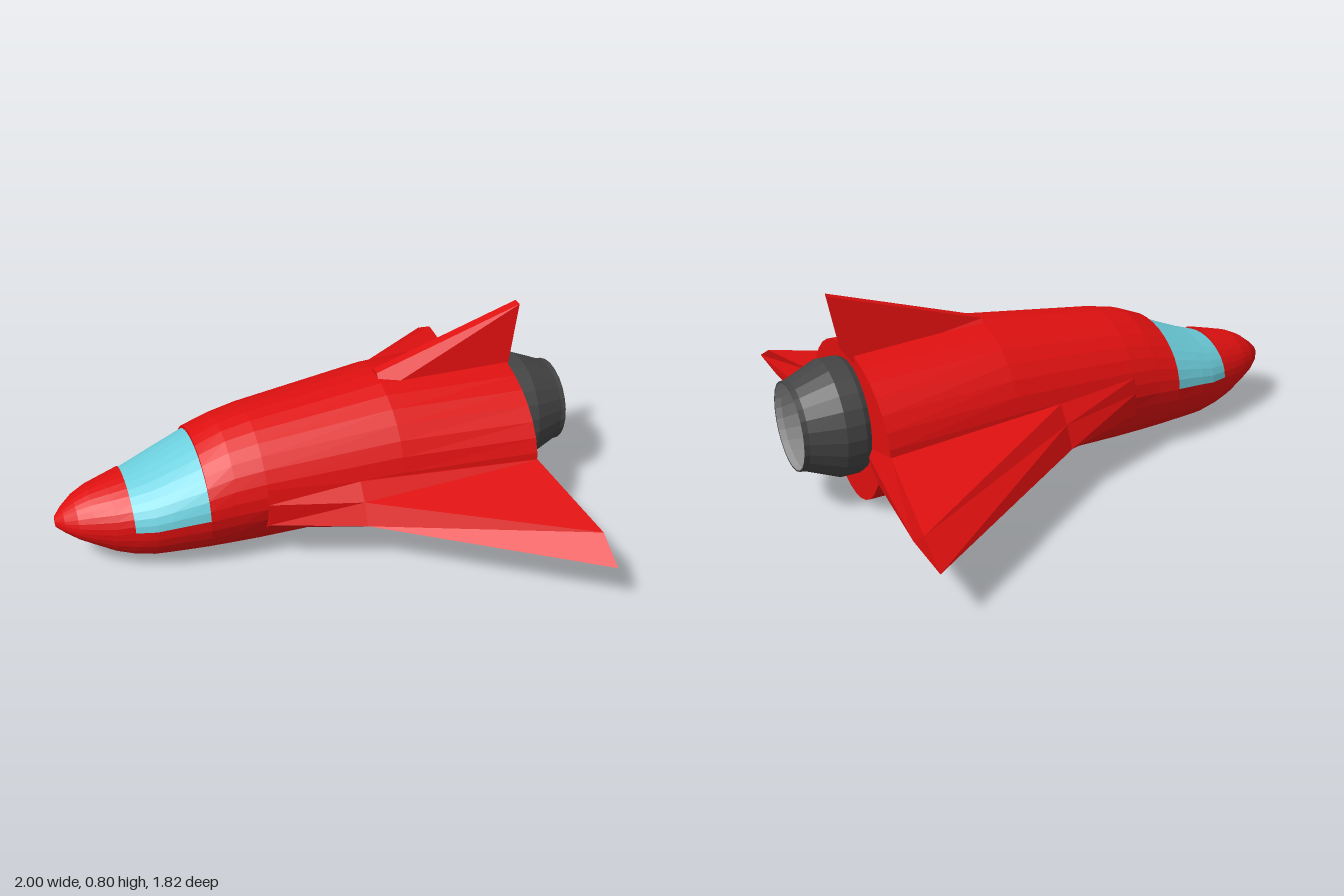
import * as THREE from 'three';

const red = new THREE.MeshStandardMaterial({ color: 0xe01010, flatShading: true, name: 'red paint' });
const cyan = new THREE.MeshStandardMaterial({ color: 0x6dd0de, flatShading: true, side: THREE.DoubleSide, name: 'cyan glass' });
const dark = new THREE.MeshStandardMaterial({ color: 0x444444, flatShading: true, side: THREE.DoubleSide, name: 'dark metal' });
const grey = new THREE.MeshStandardMaterial({ color: 0x999999, flatShading: true, side: THREE.DoubleSide, name: 'grey liner' });

// Skins a run of rings of [x, y, z] points that advance along +x; closed rings get end caps.
function loft(rings, closed = true) {
  const pos = [];
  const tri = (...pts) => pts.forEach((p) => pos.push(...p));
  const n = rings[0].length;
  for (let i = 0; i < rings.length - 1; i++) {
    const a = rings[i], b = rings[i + 1];
    for (let j = 0; j < (closed ? n : n - 1); j++) {
      const k = (j + 1) % n;
      tri(a[j], b[j], b[k]);
      tri(a[j], b[k], a[k]);
    }
  }
  if (closed) {
    const first = rings[0], last = rings[rings.length - 1];
    for (let j = 1; j < n - 1; j++) {
      tri(first[0], first[j], first[j + 1]);
      tri(last[0], last[j + 1], last[j]);
    }
  }
  const g = new THREE.BufferGeometry();
  g.setAttribute('position', new THREE.Float32BufferAttribute(pos, 3));
  g.computeVertexNormals();
  return g;
}

// Hull cross-section: a wide half ellipse above a narrower one.
// Station: x, top y, bottom y, waist y, upper half-width, lower half-width.
function ring([x, top, bottom, waist, upper, lower], from, to, steps) {
  const pts = [];
  for (let j = 0; j < steps; j++) {
    const t = from + (to - from) * (j / (to - from > 6 ? steps : steps - 1));
    const s = Math.sin(t);
    const w = s >= 0 ? upper : lower + (upper - lower) * Math.max(0, 1 + s / 0.45);
    pts.push([x, waist + s * (s >= 0 ? top - waist : waist - bottom), w * Math.cos(t)]);
  }
  return pts;
}
const fullRing = (st) => ring(st, 0, Math.PI * 2, 32);

const noseStations = [
  [-1.0, 0.22, 0.18, 0.2, 0.02, 0.02],
  [-0.97, 0.25, 0.16, 0.2, 0.06, 0.06],
  [-0.925, 0.285, 0.13, 0.2, 0.1, 0.1],
  [-0.87, 0.312, 0.098, 0.2, 0.13, 0.13],
  [-0.8, 0.33, 0.055, 0.2, 0.158, 0.16],
  [-0.735, 0.345, 0.03, 0.21, 0.18, 0.185],
];
const cockpitStations = [
  [-0.735, 0.335, 0.03, 0.21, 0.18, 0.185],
  [-0.66, 0.36, 0.015, 0.218, 0.21, 0.21],
  [-0.6, 0.385, 0.013, 0.23, 0.225, 0.225],
  [-0.47, 0.443, 0.01, 0.25, 0.252, 0.25],
];
const bodyStations = [
  [-0.47, 0.457, 0.01, 0.25, 0.255, 0.25],
  [-0.37, 0.5, 0.005, 0.26, 0.262, 0.255],
  [-0.26, 0.524, 0.002, 0.27, 0.275, 0.26],
  [0.25, 0.59, 0, 0.29, 0.327, 0.265],
  [0.765, 0.585, 0, 0.3, 0.38, 0.27],
];

// Wing sections, each running tip, ridge, hull top, buried root, hull underside, lower edge.
const wingSections = [
  [[-0.26, 0.2, 0.277], [-0.26, 0.29, 0.277], [-0.26, 0.35, 0.265],
    [-0.26, 0.25, 0.1], [-0.26, 0.16, 0.235], [-0.26, 0.17, 0.25]],
  [[0.08, 0.2, 0.4], [0.08, 0.28, 0.36], [0.08, 0.342, 0.312],
    [0.08, 0.25, 0.1], [0.08, 0.16, 0.235], [0.08, 0.19, 0.34]],
  [[0.825, 0.2, 0.91], [0.825, 0.27, 0.79], [0.765, 0.33, 0.38],
    [0.765, 0.25, 0.1], [0.765, 0.16, 0.24], [0.825, 0.2, 0.7]],
];
const mirrorRing = (r) => r.map(([x, y, z]) => [x, y, -z]).reverse();

// Tail fin sections, narrowing towards the top edge.
const finSection = (baseX, topX, topY, w) => [
  [baseX, 0.55, w], [topX, topY, 0.018], [topX, topY, -0.018], [baseX, 0.55, -w],
];

// Turned part around the engine axis, from [radius, x] points.
function turned(profile) {
  const g = new THREE.LatheGeometry(profile.map(([r, x]) => new THREE.Vector2(r, x)), 24);
  g.rotateZ(-Math.PI / 2);
  g.translate(0, 0.33, 0);
  return g;
}

export function createModel() {
  const model = new THREE.Group();
  model.name = 'spacecraft';
  const add = (name, geometry, material) => {
    const mesh = new THREE.Mesh(geometry, material);
    mesh.name = name;
    model.add(mesh);
  };

  // Fuselage
  add('nose', loft(noseStations.map(fullRing)), red);
  add('canopy', loft(cockpitStations.map((s) => ring(s, 0, Math.PI, 17)), false), cyan);
  add('cockpitBelly', loft(cockpitStations.map((s) => ring(s, Math.PI, Math.PI * 2, 17)), false), red);
  add('body', loft(bodyStations.map(fullRing)), red);

  // Wings and tail
  add('wingFront', loft(wingSections), red);
  add('wingBack', loft(wingSections.map(mirrorRing)), red);
  add('tailFin', loft([finSection(0.25, 0.25, 0.602, 0.075), finSection(0.765, 0.825, 0.795, 0.075)]), red);

  // Engine
  add('engineNozzle', turned([[0.19, 0.765], [0.205, 0.765], [0.215, 0.785], [0.215, 0.855],
    [0.165, 0.975], [0.163, 0.995]]), dark);
  add('engineLiner', turned([[0.185, 0.766], [0.2, 0.85], [0.158, 0.97], [0.158, 0.994]]), grey);
  add('engineRim', turned([[0.158, 0.994], [0.163, 0.995]]), dark);

  return model;
}
